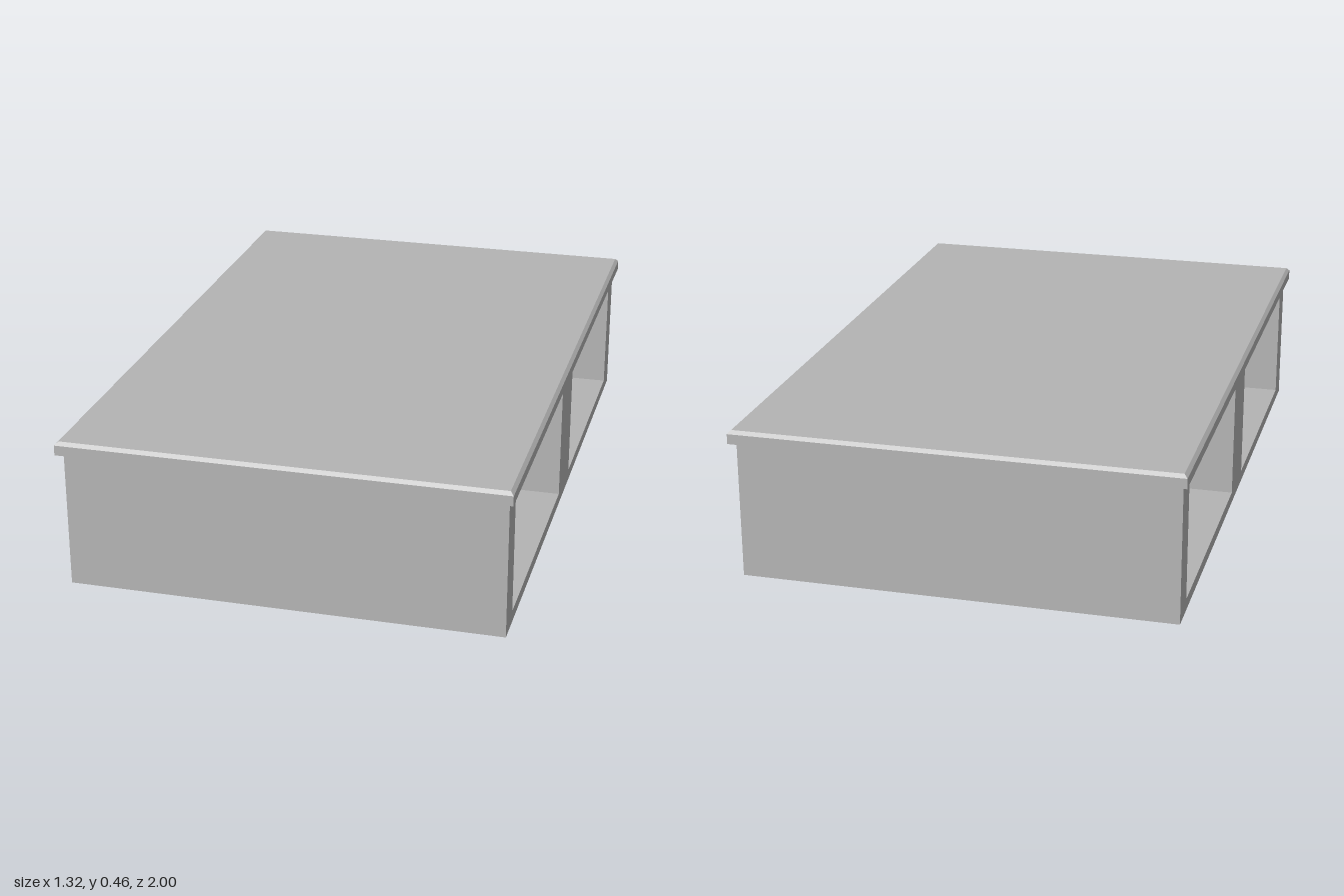
import * as THREE from 'three';

const BODY = { x: 1.29, y: 0.42, z: 1.94 };
const BAY = { z0: 0.093, z1: 0.88, y0: 0.035, y1: 0.385 };

// Rectangle outline, usable as a shape or as a hole
function rect(target, x0, x1, y0, y1) {
  target.moveTo(x0, y0);
  target.lineTo(x1, y0);
  target.lineTo(x1, y1);
  target.lineTo(x0, y1);
  target.closePath();
  return target;
}

// Slab whose upper edge is chamfered
function chamferedSlab(w, h, d, chamfer) {
  const box = new THREE.BoxGeometry(w, h, d, 1, 2, 1);
  const p = box.attributes.position;
  for (let i = 0; i < p.count; i++) {
    if (Math.abs(p.getY(i)) < 1e-6) {
      p.setY(i, h / 2 - chamfer);
    } else if (p.getY(i) > 0) {
      p.setX(i, Math.sign(p.getX(i)) * (w / 2 - chamfer));
      p.setZ(i, Math.sign(p.getZ(i)) * (d / 2 - chamfer));
    }
  }
  const geometry = box.toNonIndexed();
  geometry.computeVertexNormals();
  return geometry;
}

export function createModel() {
  const group = new THREE.Group();
  group.name = 'storagePlatform';
  const grey = new THREE.MeshStandardMaterial({ color: 0xb4b4b4 });
  grey.name = 'grey';

  const add = (name, geometry, x = 0, y = 0, z = 0) => {
    const mesh = new THREE.Mesh(geometry, grey);
    mesh.name = name;
    mesh.position.set(x, y, z);
    group.add(mesh);
  };

  // Body with two rectangular bays cut across its width
  const profile = rect(new THREE.Shape(), -BODY.z / 2, BODY.z / 2, 0, BODY.y);
  for (const s of [-1, 1]) {
    const ends = [s * BAY.z0, s * BAY.z1].sort((a, b) => a - b);
    profile.holes.push(rect(new THREE.Path(), ends[0], ends[1], BAY.y0, BAY.y1));
  }
  const body = new THREE.ExtrudeGeometry(profile, { depth: BODY.x, bevelEnabled: false });
  body.translate(0, 0, -BODY.x / 2);
  body.rotateY(Math.PI / 2);
  add('body', body);

  // Centre dividers, leaving open bays on the left and right sides
  for (const s of [-1, 1]) {
    add(
      s > 0 ? 'frontBayDivider' : 'backBayDivider',
      new THREE.BoxGeometry(0.07, BAY.y1 - BAY.y0, BAY.z1 - BAY.z0),
      0, (BAY.y0 + BAY.y1) / 2, (s * (BAY.z0 + BAY.z1)) / 2
    );
  }

  // Overhanging top panel
  add('topPanel', chamferedSlab(1.32, 0.04, 2, 0.01), 0, 0.44, 0);

  return group;
}
